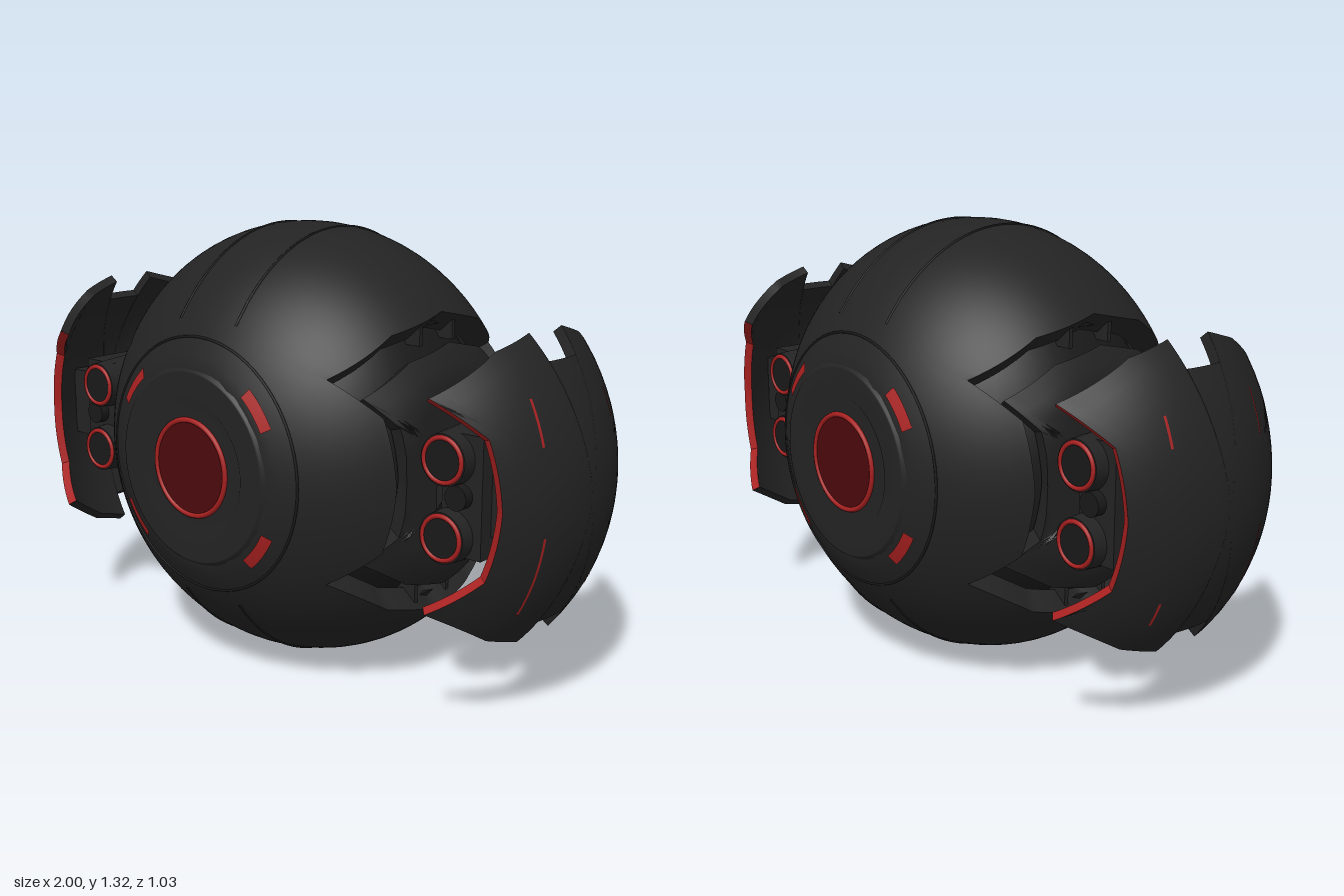
import * as THREE from 'three';
import { toCreasedNormals } from 'three/addons/utils/BufferGeometryUtils.js';

const R = 0.66, RZ = 0.56, CY = 0.66, SPREAD = 0.34, FACE = 0.505, SUB = 8;

const mat = (name, color) => new THREE.MeshStandardMaterial({ name, color, side: THREE.DoubleSide });

// Quad grid from a rule fn(row, column) -> [x, y, z]
function grid(rows, cols, fn, crease = 0.6) {
  const pos = [], idx = [];
  for (let i = 0; i <= rows; i++) for (let j = 0; j <= cols; j++) pos.push(...fn(i, j));
  for (let i = 0; i < rows; i++) for (let j = 0; j < cols; j++) {
    const a = i * (cols + 1) + j, b = a + 1, c = a + cols + 1, d = c + 1;
    idx.push(a, b, d, a, d, c);
  }
  const g = new THREE.BufferGeometry();
  g.setAttribute('position', new THREE.Float32BufferAttribute(pos, 3));
  g.setIndex(idx);
  return toCreasedNormals(g, crease);
}

// Closed [z, y] outline from one quarter, mirrored both ways
function outline(quarter) {
  const q = [];
  for (let s = 0; s < quarter.length - 1; s++) for (let k = 0; k < SUB; k++) {
    const t = k / SUB, [a, b] = [quarter[s], quarter[s + 1]];
    q.push([a[0] + (b[0] - a[0]) * t, a[1] + (b[1] - a[1]) * t]);
  }
  const end = quarter[quarter.length - 1];
  const back = [...q.slice(1), end].reverse();
  return [
    ...q, ...back.map(([z, y]) => [-z, y]),
    ...q.map(([z, y]) => [-z, -y]), ...back.map(([z, y]) => [z, -y]),
  ];
}

// Point on the shared ellipsoid at (z, y), scaled by s
const onShell = (z, y, s = 1) => {
  const x = R * Math.sqrt(Math.max(0, 1 - (y / R) ** 2 - (z / RZ) ** 2));
  return [x * s, y * s, z * s];
};

const side = [[0.285, 0], [0.295, 0.19], [0.375, 0.29], [0.2, 0.395]];
const holeLine = outline([...side, [0, 0.44]]);
const wingLine = outline([...side, [0.078, 0.43], [0.064, 0.36], [0, 0.36]]);

export function createModel() {
  const black = mat('black shell', 0x232323);
  const dark = mat('dark recess', 0x191919);
  const red = mat('red trim', 0xa82020);
  const deepRed = mat('deep red lens', 0x4c0a0c);
  const model = new THREE.Group();
  model.name = 'roundRobot';
  const add = (parent, name, geo, material, x = 0, y = 0, z = 0) => {
    const m = new THREE.Mesh(geo, material);
    m.name = name;
    m.position.set(x, y, z);
    parent.add(m);
    return m;
  };

  const body = new THREE.Group();
  body.name = 'body';
  body.position.y = CY;
  model.add(body);

  // Outer shell: band between the two side openings, with turned-in rims
  const ROWS = 44;
  add(body, 'bodyShell', grid(ROWS + 2, holeLine.length, (i, j) => {
    const [z, y] = holeLine[j % holeLine.length];
    const s = Math.hypot(y / R, z / RZ), h = Math.asin(s);
    const k = THREE.MathUtils.clamp(i - 1, 0, ROWS) / ROWS;
    const a = h + (Math.PI - 2 * h) * k;
    const f = i === 0 || i === ROWS + 2 ? 0.88 : 1;
    const m = Math.sin(a) / s * f;
    return [R * Math.cos(a) * f, y * m, THREE.MathUtils.clamp(z * m, -FACE, FACE)];
  }), black);

  // Inner core seen through the side openings
  add(body, 'innerCore', new THREE.SphereGeometry(1, 48, 32), dark).scale.set(0.555, 0.585, 0.49);

  // Long seams over the top and under the belly
  for (const x of [-0.11, 0.11]) for (const sy of [-1, 1]) {
    const pts = [];
    for (let i = 0; i <= 16; i++) {
      const z = -0.43 + 0.86 * i / 16;
      pts.push(new THREE.Vector3(x, sy * Math.sqrt(R * R * (1 - (z / RZ) ** 2) - x * x), z));
    }
    add(body, 'panelSeam', new THREE.TubeGeometry(new THREE.CatmullRomCurve3(pts), 40, 0.004, 5), dark);
  }

  // Eye faces at front and back
  for (const turn of [0, Math.PI]) {
    const face = new THREE.Group();
    face.name = turn ? 'backFace' : 'frontFace';
    face.rotation.y = turn;
    body.add(face);
    const lathe = (name, pts, m, start = 0, len = Math.PI * 2) => {
      const g = new THREE.LatheGeometry(pts.map(p => new THREE.Vector2(...p)), 64, start, len);
      add(face, name, g, m).rotation.x = Math.PI / 2;
    };
    lathe('facePlate', [[0.305, 0.485], [0.28, 0.509], [0.275, 0.511], [0.2, 0.511], [0.195, 0.507], [0.14, 0.507]], black);
    add(face, 'lens', new THREE.CircleGeometry(0.136, 48), deepRed, 0, 0, 0.511);
    add(face, 'lensRim', new THREE.TorusGeometry(0.139, 0.008, 8, 64), red, 0, 0, 0.509);
    add(face, 'faceSeam', new THREE.TorusGeometry(0.37, 0.004, 6, 72), dark, 0, 0, 0.464);
    for (const mid of [51, 129, 231, 309]) {
      const z = r => RZ * Math.sqrt(1 - (r / R) ** 2) + 0.004;
      lathe('faceMark', [[0.335, z(0.335)], [0.32, z(0.32)], [0.304, z(0.304)]], red,
        THREE.MathUtils.degToRad(mid - 11), THREE.MathUtils.degToRad(22));
    }
  }

  // Side assemblies, mirrored
  for (const sx of [1, -1]) {
    const arm = new THREE.Group();
    arm.name = sx > 0 ? 'leftSide' : 'rightSide';
    arm.position.y = CY;
    arm.scale.x = sx;
    model.add(arm);

    // Raised panel and latches inside the opening
    const n0 = holeLine.length;
    add(arm, 'sidePanel', grid(9, n0, (i, j) => {
      const [z, y] = holeLine[j % n0], t = Math.max(0.001, Math.min(i, 8) / 8) * 0.85;
      const [x, py, pz] = onShell(z * t, y * t, i === 9 ? 0.86 : 0.955);
      return [Math.min(x, 0.56), py, pz];
    }), black);
    for (const sy of [-1, 1]) {
      for (const z of [-0.075, 0.075])
        add(arm, 'latchCheek', new THREE.BoxGeometry(0.1, 0.08, 0.014), black, 0.43, sy * 0.39, z);
      add(arm, 'latchBar', new THREE.BoxGeometry(0.06, 0.02, 0.14), dark, 0.43, sy * 0.41, 0);
    }

    // Wing: a piece of the shell moved outward
    const n = wingLine.length, T = 0.955;
    const skin = s => grid(12, n, (i, j) => {
      const [z, y] = wingLine[j % n], t = Math.max(0.001, i / 12);
      const [x, py, pz] = onShell(z * t, y * t, s);
      return [x + SPREAD, py, pz];
    });
    add(arm, 'wingOuter', skin(1), black);
    add(arm, 'wingInner', skin(T), black);
    const edge = (name, from, to, m) => add(arm, name, grid(1, to - from, (i, j) => {
      const [z, y] = wingLine[(from + j + n) % n];
      const [x, py, pz] = onShell(z, y, i ? T : 1);
      return [x + SPREAD, py, pz];
    }), m);
    const k = SUB * 2, half = n / 2;
    edge('wingFrontTrim', -k, k, red);
    edge('wingBackTrim', half - k, half + k, red);
    edge('wingTopEdge', k, half - k, black);
    edge('wingBottomEdge', half + k, n - k, black);

    // Fine red lines on the wing
    for (const [z, y0, y1] of [[0.17, -0.31, -0.08], [0.17, 0.16, 0.28], [-0.17, -0.31, -0.24], [-0.17, 0.18, 0.26]])
      add(arm, 'wingLine', grid(8, 1, (i, j) => {
        const [x, y, pz] = onShell(z + (j - 0.5) * 0.007, y0 + (y1 - y0) * i / 8, 1.002);
        return [x + SPREAD, y, pz];
      }), red);

    // Twin barrels, with a gap at the middle
    add(arm, 'barrelSpine', new THREE.BoxGeometry(0.13, 0.34, 0.44), black, 0.735, 0, 0);
    for (const sz of [-1, 1]) {
      for (const y of [0.1, -0.115]) {
        const b = add(arm, 'barrel', new THREE.CylinderGeometry(0.072, 0.085, 0.19, 32), black, 0.7, y, sz * 0.167);
        b.rotation.x = sz * Math.PI / 2;
        add(arm, 'muzzleRing', new THREE.TorusGeometry(0.061, 0.007, 8, 40), red, 0.7, y, sz * 0.262);
        const d = add(arm, 'muzzle', new THREE.CircleGeometry(0.055, 32), dark, 0.7, y, sz * 0.264);
        if (sz < 0) d.rotation.y = Math.PI;
      }
      const p = add(arm, 'smallBarrel', new THREE.CylinderGeometry(0.035, 0.035, 0.2, 20), dark, 0.735, 0, sz * 0.15);
      p.rotation.x = Math.PI / 2;
      add(arm, 'wingStrut', new THREE.BoxGeometry(0.16, 0.22, 0.09), black, 0.85, 0, sz * 0.13);

      // Waisted link plate to the body
      const s = new THREE.Shape([[0.48, 0.2], [0.53, 0.16], [0.575, 0.08], [0.6, 0.1], [0.64, 0.17], [0.7, 0.18],
        [0.7, -0.18], [0.64, -0.17], [0.6, -0.1], [0.575, -0.08], [0.53, -0.16], [0.48, -0.2]].map(q => new THREE.Vector2(...q)));
      add(arm, 'linkPlate', new THREE.ExtrudeGeometry(s, { depth: 0.03, bevelEnabled: false }), black, 0, 0, sz * 0.08 - 0.015);
    }
  }
  return model;
}
